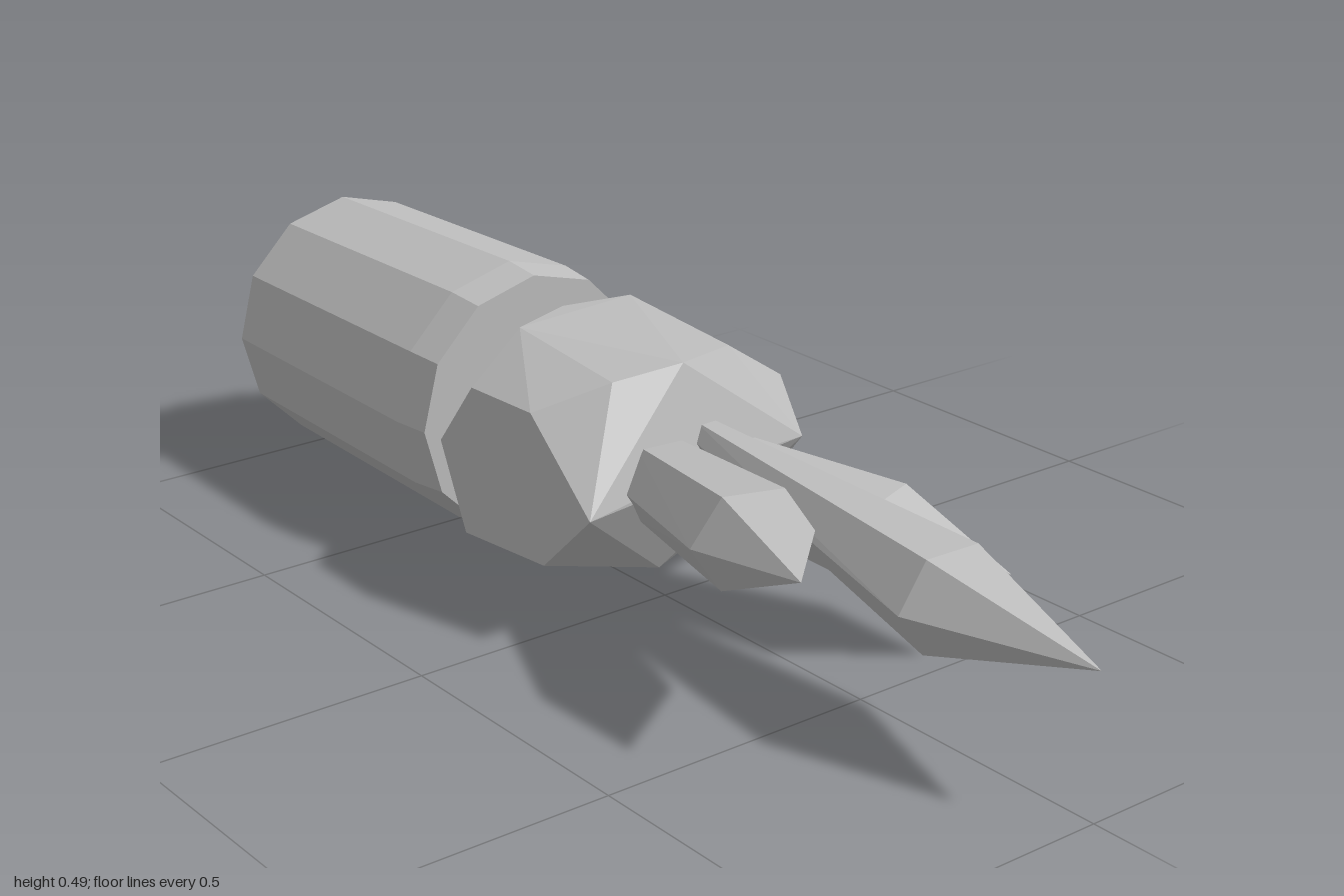
import * as THREE from 'three';
import { ConvexGeometry } from 'three/addons/geometries/ConvexGeometry.js';

const grey = new THREE.MeshStandardMaterial({ color: 0xbdbdbd });
grey.name = 'plain grey';
const V = (x, y, z) => new THREE.Vector3(x, y, z);

// Faceted convex solid wrapped around a few corner points
function hull(name, points) {
  const mesh = new THREE.Mesh(new ConvexGeometry(points), grey);
  mesh.name = name;
  return mesh;
}

// Level hexagon facing along the horizontal direction (dx, dz)
function hexagon(c, rx, ry, dx, dz) {
  const len = Math.hypot(dx, dz), pts = [];
  for (let i = 0; i < 6; i++) {
    const a = i * Math.PI / 3, s = Math.cos(a) * rx;
    pts.push(V(c.x + s * dz / len, c.y + Math.sin(a) * ry, c.z - s * dx / len));
  }
  return pts;
}

// Claw: narrow root, wide middle, pointed tip
function claw(name, root, rootSize, middle, tip) {
  const dx = tip.x - root.x, dz = tip.z - root.z;
  return hull(name, [
    ...hexagon(root, rootSize, rootSize, dx, dz),
    ...hexagon(middle, 0.103, 0.09, dx, dz),
    tip,
  ]);
}

export function createModel() {
  const group = new THREE.Group();
  group.name = 'clawedArm';

  // Twelve-sided sleeve with a bevelled front rim
  const profile = [[0, -1], [0.238, -1], [0.247, -0.44], [0.239, -0.365], [0, -0.365]]
    .map(([r, z]) => new THREE.Vector2(r, z));
  const sleeveGeo = new THREE.LatheGeometry(profile, 12).rotateX(Math.PI / 2).toNonIndexed();
  sleeveGeo.computeVertexNormals();
  const sleeve = new THREE.Mesh(sleeveGeo, grey);
  sleeve.name = 'sleeve';
  sleeve.position.set(-0.005, 0.25, 0);
  group.add(sleeve);

  // Palm: flat hexagonal sides bulging to a larger middle section, as [x, outline of y, z]
  const sections = [
    [0.228, [[0.27, 0.09], [0.365, 0.03], [0.375, -0.18], [0.25, -0.31], [0.115, -0.26], [0.125, -0.03]]],
    [-0.24, [[0.24, 0.11], [0.38, -0.05], [0.375, -0.22], [0.25, -0.32], [0.1, -0.25], [0.118, -0.02]]],
    [-0.005, [[0.27, 0.1], [0.445, 0.055], [0.455, -0.28], [0.25, -0.385], [0.012, -0.245], [0.053, -0.01]]],
    [0.112, [[0.462, -0.24], [0.443, 0.03]]],
    [-0.125, [[0.452, -0.24], [0.427, 0.02]]],
  ];
  group.add(hull('palm', sections.flatMap(([x, outline]) => outline.map(([y, z]) => V(x, y, z)))));

  // Three spread claws
  group.add(claw('middleClaw', V(0.03, 0.315, 0.06), 0.028, V(-0.005, 0.25, 0.695), V(-0.005, 0.25, 1)));
  group.add(claw('rightClaw', V(-0.065, 0.257, 0.06), 0.075, V(-0.168, 0.3, 0.43), V(-0.25, 0.325, 0.635)));
  group.add(claw('leftClaw', V(0.075, 0.235, 0.06), 0.07, V(0.172, 0.192, 0.375), V(0.26, 0.17, 0.565)));

  return group;
}
